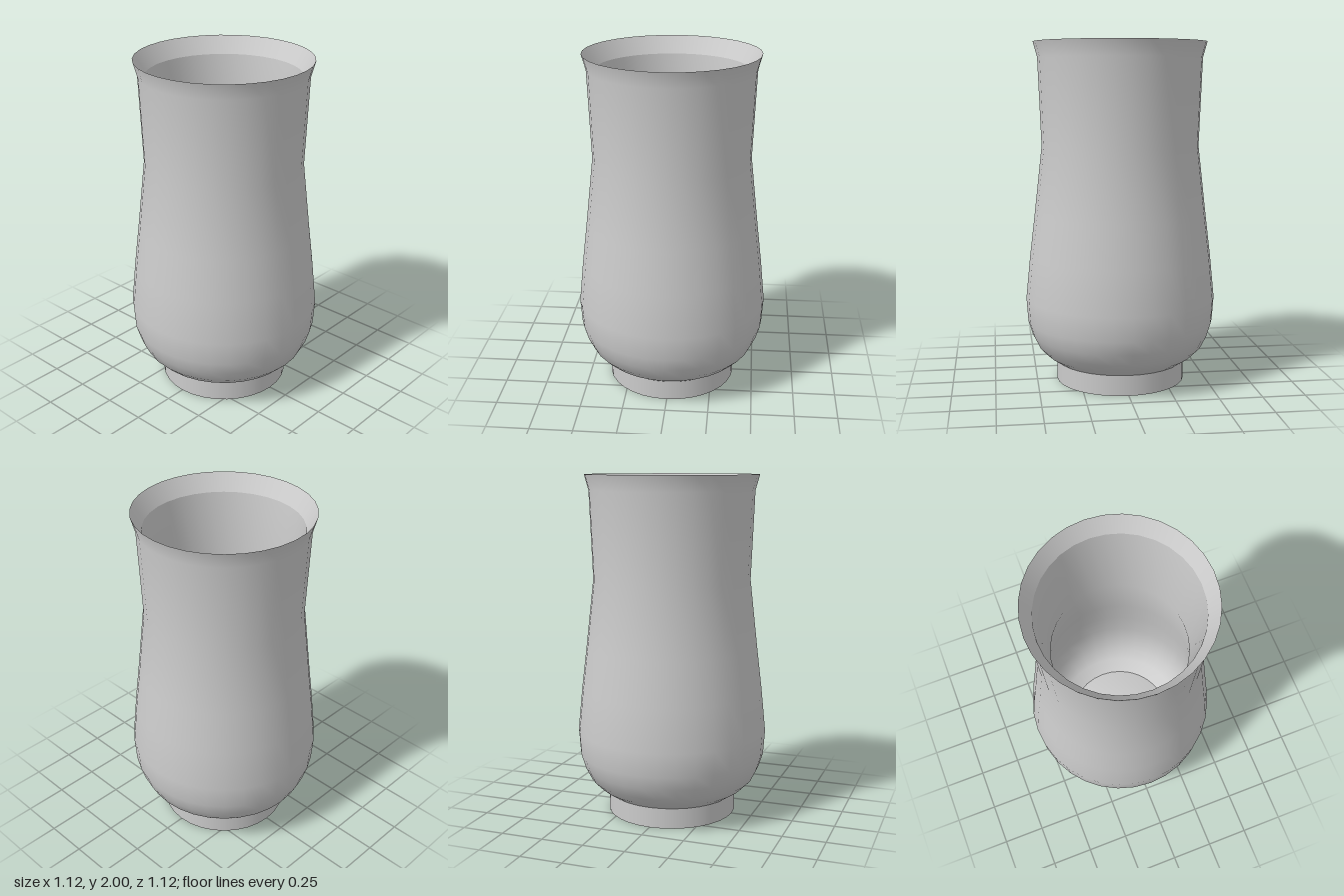
import * as THREE from 'three';

const SEGMENTS = 32;

export function createModel() {
  const group = new THREE.Group();
  group.name = 'vase';
  const material = new THREE.MeshStandardMaterial({ color: 0xcccccc });

  // Each smooth band is its own lathe, so the edges between bands stay sharp.
  // Profiles run [radius, height]; rising ones face out, falling ones face in.
  function band(name, profile) {
    const points = profile.map(([r, y]) => new THREE.Vector2(r, y));
    const mesh = new THREE.Mesh(new THREE.LatheGeometry(points, SEGMENTS), material);
    mesh.name = name;
    group.add(mesh);
  }

  // Foot: hollow underside, flat standing ring, straight wall
  band('footUnderside', [[0, 0.07], [0.12, 0.062], [0.23, 0.038], [0.325, 0]]);
  band('footRing', [[0.325, 0], [0.38, 0]]);
  band('footWall', [[0.38, 0], [0.38, 0.12]]);

  // Outer body: rounded shoulder, tapering waist, flared lip
  band('outerBody', [
    [0.38, 0.12], [0.44, 0.16], [0.49, 0.21], [0.525, 0.28], [0.55, 0.36], [0.56, 0.5],
    [0.535, 0.75], [0.505, 1.0], [0.46, 1.4], [0.48, 1.91], [0.505, 2],
  ]);

  // Inside of the lip, running down to the inner edge
  band('innerLip', [[0.505, 2], [0.445, 1.9]]);

  // Inner wall follows the outer body down to the floor
  band('innerWall', [
    [0.445, 1.9], [0.385, 1.4], [0.435, 1.0], [0.47, 0.75], [0.495, 0.5],
    [0.48, 0.36], [0.45, 0.26], [0.4, 0.19], [0.325, 0.14],
  ]);

  // Gently domed floor
  band('innerFloor', [[0.325, 0.14], [0.23, 0.165], [0.12, 0.18], [0, 0.185]]);

  return group;
}
